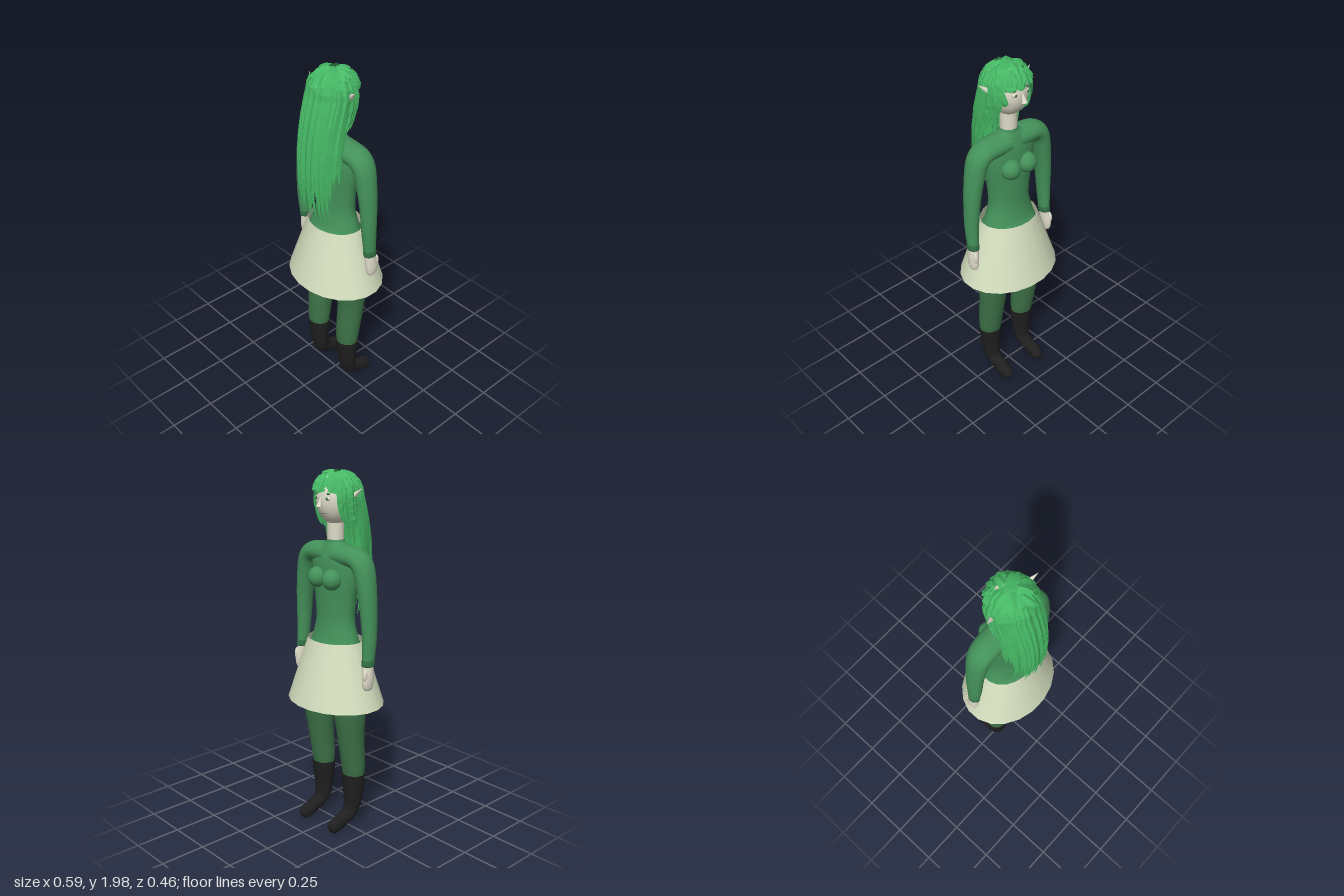
import * as THREE from 'three';

const mat = (name, color, side = THREE.FrontSide) => {
  const m = new THREE.MeshStandardMaterial({ color, side });
  m.name = name;
  return m;
};

// Smooth body built from rings [x, y, z, sideRadius, depthRadius] along a path.
// sideways: keeps the ring frame steady for paths that bend towards x
function loft(rings, sideways = false, segs = 24, steps = 5) {
  const centre = new THREE.CatmullRomCurve3(rings.map(r => new THREE.Vector3(r[0], r[1], r[2])), false, 'catmullrom', 0.5);
  const radii = new THREE.CatmullRomCurve3(rings.map(r => new THREE.Vector3(r[3], r[4], 0)), false, 'catmullrom', 0.5);
  const n = (rings.length - 1) * steps, pos = [], idx = [];
  const side = new THREE.Vector3(), deep = new THREE.Vector3();
  for (let i = 0; i <= n; i++) {
    const c = centre.getPoint(i / n), r = radii.getPoint(i / n), t = centre.getTangent(i / n);
    if (sideways) {
      deep.set(0, 0, -1).addScaledVector(t, t.z).normalize();
      side.crossVectors(deep, t);
    } else {
      side.set(1, 0, 0).addScaledVector(t, -t.x).normalize();
      deep.crossVectors(t, side);
    }
    for (let j = 0; j < segs; j++) {
      const a = j / segs * Math.PI * 2;
      const p = c.clone().addScaledVector(side, Math.cos(a) * Math.max(r.x, 0.0005)).addScaledVector(deep, Math.sin(a) * Math.max(r.y, 0.0005));
      pos.push(p.x, p.y, p.z);
      if (i < n) {
        const k = i * segs + j, l = i * segs + (j + 1) % segs;
        idx.push(k, l, l + segs, k, l + segs, k + segs);
      }
    }
  }
  const g = new THREE.BufferGeometry();
  g.setAttribute('position', new THREE.Float32BufferAttribute(pos, 3));
  g.setIndex(idx);
  g.computeVertexNormals();
  return g;
}

// Faceted ridged ribbons of hair; each lock is {path, width, blunt}
function hairGeometry(locks) {
  const pos = [], idx = [];
  for (const { path, width, blunt } of locks) {
    const n = path.length - 1;
    path.forEach((p, i) => {
      const t = path[Math.min(i + 1, n)].clone().sub(path[Math.max(i - 1, 0)]).normalize();
      const out = new THREE.Vector3(p.x, Math.max(0, p.y - 1.85), p.z - 0.01).normalize();
      const side = new THREE.Vector3().crossVectors(t, out).normalize();
      const f = i / n, w = width * (blunt ? 1 - 0.5 * f * f : Math.max(0.02, 1 - Math.pow(f, 3)));
      for (const s of [-1, 0, 1]) {
        const q = p.clone().addScaledVector(side, s * w).addScaledVector(out, s ? -w * 0.5 : 0);
        pos.push(q.x, q.y, q.z);
      }
      if (i < n) for (const s of [0, 1]) {
        const k = (pos.length / 3 - 3) + s;
        idx.push(k, k + 3, k + 1, k + 1, k + 3, k + 4);
      }
    });
  }
  const indexed = new THREE.BufferGeometry();
  indexed.setAttribute('position', new THREE.Float32BufferAttribute(pos, 3));
  indexed.setIndex(idx);
  const g = indexed.toNonIndexed();
  g.computeVertexNormals();
  return g;
}

export function createModel() {
  const model = new THREE.Group();
  const cloth = mat('green cloth', 0x44915a), trim = mat('cuff green', 0x347548);
  const tights = mat('dark green tights', 0x3d7248);
  const skin = mat('pale skin', 0xdedbc8), boots = mat('black boots', 0x1f1f1f);
  const skirtMat = mat('pale skirt', 0xd5dfbf, THREE.DoubleSide);
  const hairMat = mat('hair green', 0x46b865, THREE.DoubleSide);
  const lipMat = mat('lip', 0x8f8a80);

  const add = (name, geo, material, x = 0, y = 0, z = 0) => {
    const m = new THREE.Mesh(geo, material);
    m.name = name;
    m.position.set(x, y, z);
    model.add(m);
    return m;
  };
  const ball = (name, material, x, y, z, rx, ry, rz) => {
    const m = add(name, new THREE.SphereGeometry(1, 28, 18), material, x, y, z);
    m.scale.set(rx, ry, rz);
    return m;
  };

  // Torso, collar, neck and skirt
  add('torso', loft([
    [0, 0.94, 0, 0.16, 0.12], [0, 1.04, 0, 0.166, 0.128], [0, 1.1, 0, 0.15, 0.1], [0, 1.2, 0, 0.125, 0.083], [0, 1.32, 0, 0.134, 0.082],
    [0, 1.43, 0, 0.155, 0.083], [0, 1.53, 0, 0.16, 0.076], [0, 1.59, 0, 0.12, 0.06], [0, 1.615, 0, 0.06, 0.05], [0, 1.635, 0, 0.047, 0.046],
  ], false, 32), cloth);
  add('neck', new THREE.CylinderGeometry(0.044, 0.044, 0.16, 24), skin, 0, 1.69, 0);
  const skirt = add('skirt', new THREE.CylinderGeometry(0.57, 1, 0.35, 20, 1, true, Math.PI / 20), skirtMat, 0, 0.925, 0);
  skirt.scale.set(0.293, 1, 0.234);

  for (const s of [-1, 1]) {
    // Chest, arms flowing into the shoulders, and hands
    ball('chest', cloth, s * 0.055, 1.435, -0.076, 0.053, 0.055, 0.055);
    add('arm', loft([
      [s * 0.259, 1.02, -0.008, 0.029, 0.035], [s * 0.257, 1.15, 0, 0.036, 0.042], [s * 0.248, 1.3, 0, 0.042, 0.05],
      [s * 0.231, 1.42, 0, 0.048, 0.058], [s * 0.207, 1.51, 0, 0.053, 0.064], [s * 0.165, 1.548, 0, 0.054, 0.068],
      [s * 0.1, 1.555, 0, 0.056, 0.072], [s * 0.03, 1.557, 0, 0.058, 0.074],
    ], true), cloth);
    add('cuff', loft([[s * 0.26, 1.0, -0.01, 0.031, 0.037], [s * 0.259, 1.035, -0.008, 0.033, 0.039]]), trim);
    add('hand', loft([
      [s * 0.268, 0.868, -0.018, 0, 0], [s * 0.268, 0.878, -0.018, 0.016, 0.026], [s * 0.267, 0.92, -0.018, 0.023, 0.037],
      [s * 0.262, 0.98, -0.012, 0.026, 0.034], [s * 0.26, 1.03, -0.01, 0.024, 0.03],
    ]), skin);
    ball('thumb', skin, s * 0.272, 0.955, -0.043, 0.013, 0.035, 0.015);

    // Legs and boots
    add('leg', loft([
      [s * 0.122, 0.3, 0.022, 0.058, 0.052], [s * 0.123, 0.36, 0.021, 0.067, 0.061], [s * 0.124, 0.46, 0.011, 0.07, 0.069],
      [s * 0.124, 0.58, -0.003, 0.075, 0.076], [s * 0.122, 0.74, -0.008, 0.083, 0.098], [s * 0.11, 0.95, 0, 0.085, 0.1],
    ]), tights);
    add('boot', loft([
      [s * 0.12, 0.038, -0.157, 0, 0], [s * 0.12, 0.042, -0.148, 0.024, 0.028], [s * 0.12, 0.05, -0.12, 0.034, 0.041],
      [s * 0.12, 0.075, -0.05, 0.037, 0.039], [s * 0.12, 0.1, -0.006, 0.042, 0.04], [s * 0.12, 0.15, 0.016, 0.05, 0.045],
      [s * 0.122, 0.24, 0.022, 0.062, 0.054], [s * 0.122, 0.337, 0.022, 0.069, 0.063],
    ]), boots);

    // Ears, eyes and brows
    const ear = add('ear', new THREE.ConeGeometry(0.02, 0.09, 16), skin, s * 0.136, 1.877, 0.018);
    ear.quaternion.setFromUnitVectors(new THREE.Vector3(0, 1, 0), new THREE.Vector3(s * 0.75, 0.62, 0.25).normalize());
    ball('eye', skin, s * 0.038, 1.85, -0.088, 0.016, 0.011, 0.01);
    ball('iris', trim, s * 0.039, 1.85, -0.0955, 0.008, 0.007, 0.004);
    const brow = ball('brow', trim, s * 0.04, 1.874, -0.088, 0.022, 0.005, 0.007);
    brow.rotation.y = s * 0.4;
  }

  // Head, nose and mouth
  ball('head', skin, 0, 1.838, 0, 0.098, 0.13, 0.102);
  const nose = add('nose', new THREE.ConeGeometry(0.016, 0.055, 16), skin, 0, 1.833, -0.107);
  nose.rotation.x = 0.3;
  ball('mouth', lipMat, 0, 1.775, -0.087, 0.022, 0.005, 0.006);

  // Hair: crown cap, overlapping tufts, long locks behind and a fringe
  const cap = add('hair cap', new THREE.SphereGeometry(1, 28, 14, 0, Math.PI * 2, 0, 1.75), hairMat, 0, 1.853, 0.018);
  cap.scale.set(0.115, 0.125, 0.115);
  cap.rotation.x = 0.5;

  let seed = 7;
  const rnd = () => (seed = (seed * 16807) % 2147483647) / 2147483647;
  // Angle a is 0 at the back and PI over the face
  const scalp = (a, th, r) => new THREE.Vector3(
    0.128 * r * Math.sin(th) * Math.sin(a), 1.855 + 0.134 * r * Math.cos(th), 0.014 + 0.128 * r * Math.sin(th) * Math.cos(a));
  const tufts = [], locks = [];

  [[0.05, 6], [0.35, 9], [0.65, 13], [0.95, 16], [1.25, 18]].forEach(([th0, count], row) => {
    for (let i = 0; i < count; i++) {
      const a = (i + rnd()) / count * Math.PI * 2 - Math.PI, th = th0 + rnd() * 0.25, twist = (rnd() - 0.5) * 0.7;
      const len = Math.abs(a) > 2.1 ? Math.min(0.5, 1.35 - th) : 0.45 + rnd() * 0.25;
      if (len < 0.15) continue;
      const path = [], lift = 0.99 + rnd() * 0.02 - row * 0.003, flare = 0.04 + rnd() * 0.06;
      for (let k = 0; k <= 4; k++) path.push(scalp(a + twist * k / 4, th + len * k / 4, lift + flare * k / 4));
      tufts.push({ path, width: 0.02 + rnd() * 0.012, blunt: true });
    }
  });

  for (let layer = 0; layer < 3; layer++) {
    const count = 30;
    for (let i = 0; i < count; i++) {
      const a = (i + rnd()) / count * Math.PI * 2 - Math.PI, b = Math.abs(a);
      const r = 0.93 + layer * 0.055 + rnd() * 0.06, path = [];
      if (b > 2.15) {
        // Short fringe
        if (layer === 0) continue;
        for (let k = 0; k <= 4; k++) path.push(scalp(a, 0.75 + k * 0.125 + rnd() * 0.02, r * 0.98));
        locks.push({ path, width: 0.018 });
        continue;
      }
      const end = b < 1.15 ? 1.13 + layer * 0.05 + rnd() * 0.18 : b < 1.5 ? 1.35 + rnd() * 0.2 : 1.67 + rnd() * 0.05;
      const start = 0.75 + rnd() * 0.5;
      for (let k = 0; k < 3; k++) path.push(scalp(a, start + k * (1.55 - start) / 2, r));
      const from = path[2], drop = from.y - end;
      for (let k = 1; k <= 8; k++) {
        const d = drop * k / 8, back = b < 1.5 ? 0.3 * d - 0.38 * d * d : 1.8 * d * d;
        const sweep = b < 1.5 ? 0.45 + 0.55 * Math.cos(a) + 0.5 * Math.sin(b) : 1;
        path.push(new THREE.Vector3(from.x * (1 - 0.18 * d) + (rnd() - 0.5) * 0.004, from.y - d, from.z + back * sweep));
      }
      locks.push({ path, width: 0.02 + rnd() * 0.009 });
    }
  }
  add('crown tufts', hairGeometry(tufts), hairMat);
  add('hair locks', hairGeometry(locks), hairMat);
  return model;
}
